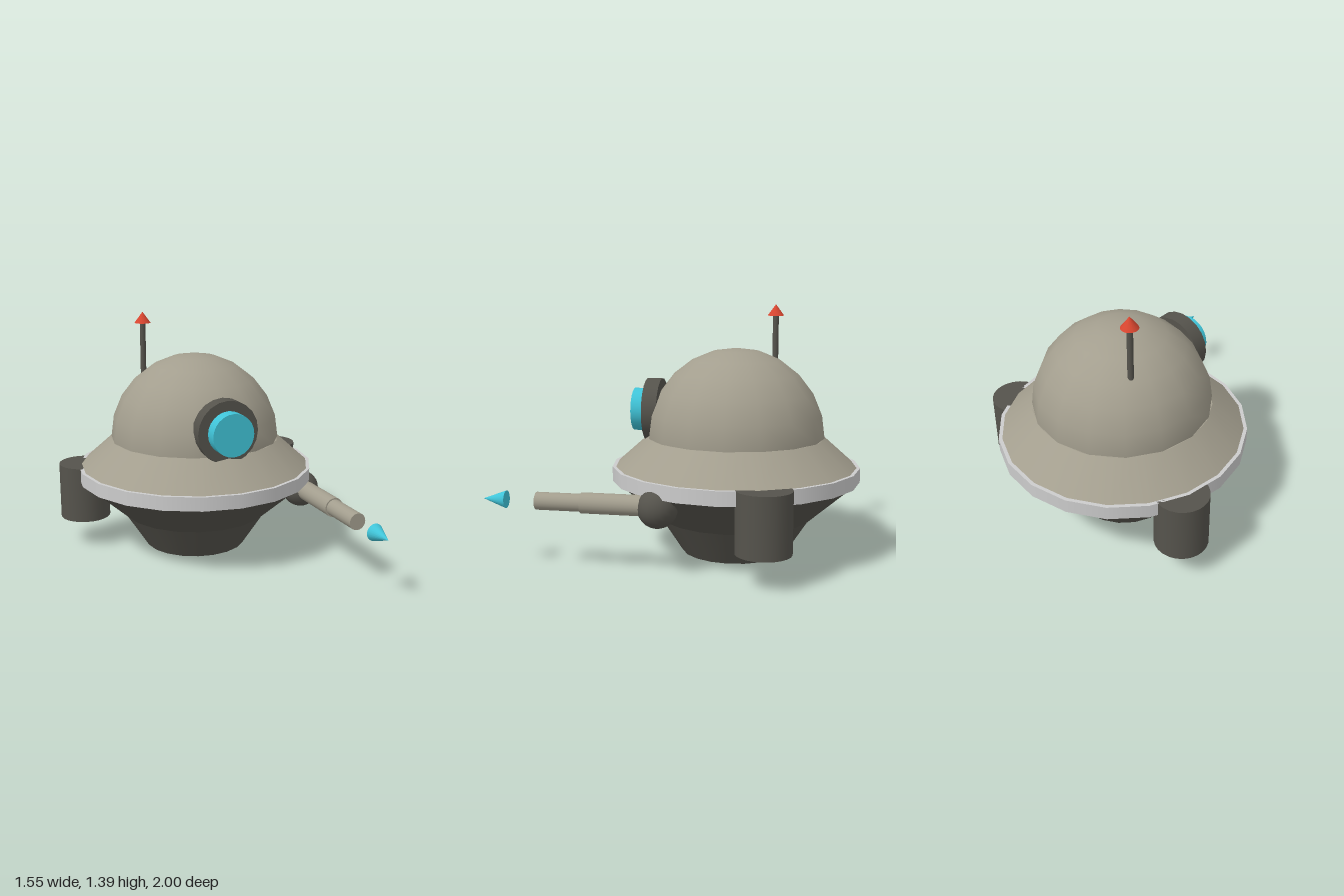
import * as THREE from 'three';

const mat = (color) => new THREE.MeshStandardMaterial({ color });

export function createModel() {
  const model = new THREE.Group();
  const shell = mat(0xa39e8e), dark = mat(0x55534c), trim = mat(0xcccccc);
  const cyan = mat(0x40c4d8), red = mat(0xd8452f);

  const add = (name, geometry, material, x, y, z, parent = model) => {
    const mesh = new THREE.Mesh(geometry, material);
    mesh.name = name;
    mesh.position.set(x, y, z);
    parent.add(mesh);
    return mesh;
  };
  // Upright cylinder or cone between two heights
  const upright = (name, rTop, rBottom, y0, y1, sides, material, x, z, parent) =>
    add(name, new THREE.CylinderGeometry(rTop, rBottom, y1 - y0, sides), material, x, (y0 + y1) / 2, z, parent);
  // Cylinder or cone along z, front radius first
  const forward = (name, rFront, rBack, z0, z1, sides, material, x, y, parent) =>
    add(name, new THREE.CylinderGeometry(rFront, rBack, z1 - z0, sides).rotateX(Math.PI / 2),
      material, x, y, (z0 + z1) / 2, parent);

  // Saucer hull, stacked from the base up
  const hull = new THREE.Group();
  hull.name = 'hull';
  model.add(hull);
  const cz = -0.3;
  upright('base', 0.43, 0.3, 0, 0.2, 20, dark, 0, cz, hull);
  upright('lowerHull', 0.68, 0.43, 0.2, 0.42, 20, dark, 0, cz, hull);
  upright('rimRing', 0.7, 0.7, 0.42, 0.5, 20, trim, 0, cz, hull);
  upright('upperHull', 0.5, 0.68, 0.5, 0.66, 20, shell, 0, cz, hull);
  add('dome', new THREE.SphereGeometry(0.5, 16, 6, 0, Math.PI * 2, 0, Math.PI / 2), shell, 0, 0.66, cz, hull);

  // Porthole
  forward('portholeFrame', 0.18, 0.18, 0.125, 0.21, 20, dark, 0, 0.8);
  forward('portholeLens', 0.122, 0.122, 0.17, 0.285, 24, cyan, 0, 0.8);

  // Thruster pods
  for (const side of [-1, 1]) {
    upright(side > 0 ? 'leftThruster' : 'rightThruster', 0.148, 0.148, 0.17, 0.5, 24, dark, side * 0.628, -0.53);
  }

  // Arm cannon with its floating bolt
  const cannon = new THREE.Group();
  cannon.name = 'armCannon';
  model.add(cannon);
  add('shoulder', new THREE.SphereGeometry(0.108, 20, 14), dark, 0.55, 0.36, 0.035, cannon);
  forward('upperBarrel', 0.056, 0.056, 0.035, 0.45, 20, shell, 0.545, 0.368, cannon);
  forward('lowerBarrel', 0.048, 0.048, 0.4, 0.7, 20, shell, 0.545, 0.368, cannon);
  forward('bolt', 0, 0.048, 0.87, 1, 20, cyan, 0.545, 0.368, cannon);

  // Antenna
  upright('antennaRod', 0.017, 0.017, 1.02, 1.34, 12, dark, -0.25, -0.495);
  upright('antennaTip', 0, 0.048, 1.33, 1.395, 16, red, -0.25, -0.495);

  return model;
}
